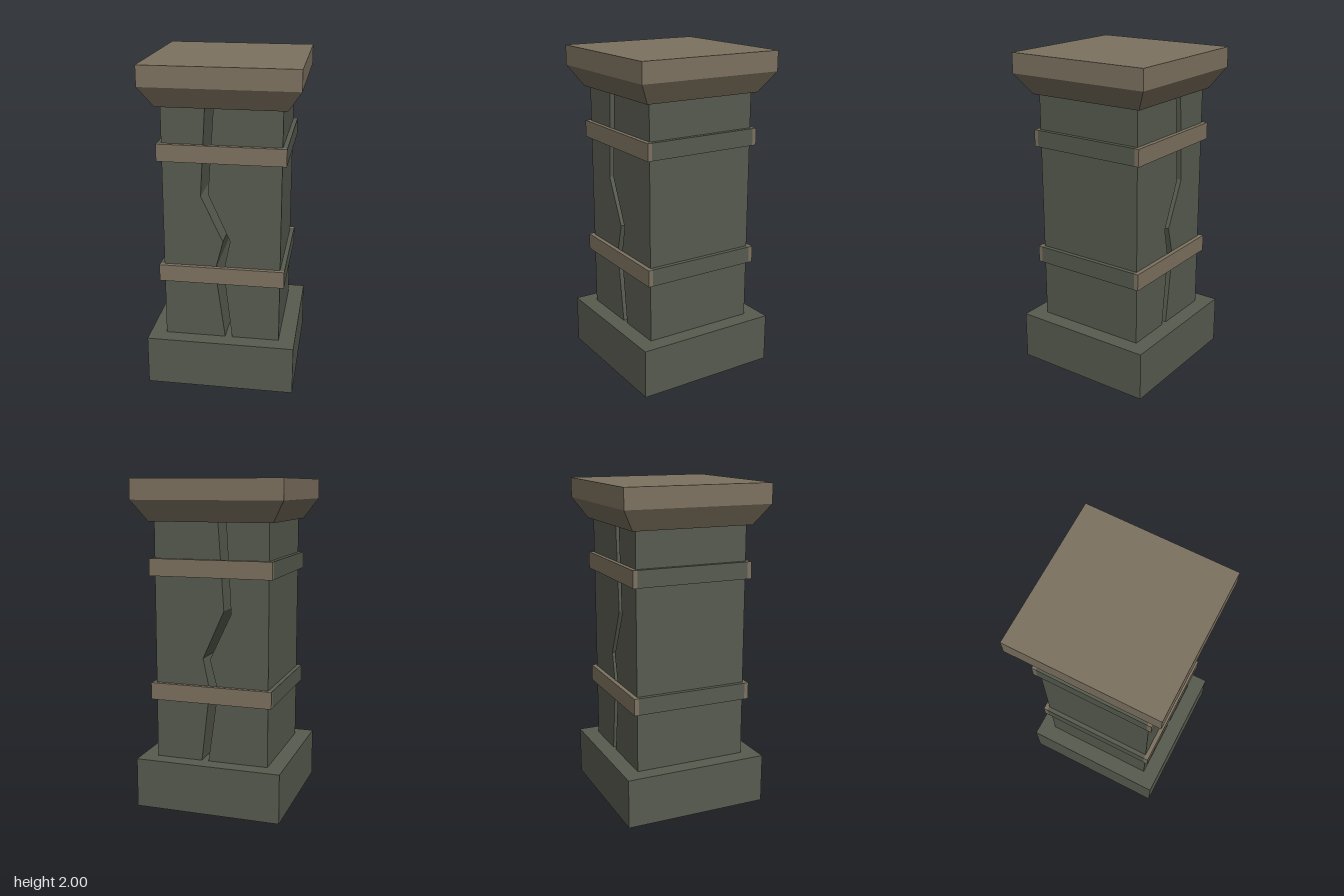
import * as THREE from 'three';

export function createModel() {
  const model = new THREE.Group();
  const stone = new THREE.MeshStandardMaterial({ color: 0x575b4f });
  stone.name = 'grey green stone';
  const sandstone = new THREE.MeshStandardMaterial({ color: 0x7d7260 });
  sandstone.name = 'brown sandstone';

  const add = (name, geometry, material, x = 0, y = 0, z = 0) => {
    const mesh = new THREE.Mesh(geometry, material);
    mesh.name = name;
    mesh.position.set(x, y, z);
    model.add(mesh);
    return mesh;
  };

  // Square base block
  add('base', new THREE.BoxGeometry(0.905, 0.305, 0.905), stone, 0, 0.1525, 0);

  // Shaft split in two by a jagged crack running from front to back
  const half = 0.353, bottom = 0.305, top = 1.752;
  const crackRight = [[0.02, bottom], [-0.041, 0.75], [0.008, 0.94], [-0.125, 1.22], [-0.095, top]];
  const crackLeft = [[0.063, bottom], [0.011, 0.75], [0.051, 0.945], [-0.08, 1.235], [-0.045, top]];
  const shaftHalf = (name, side, edge) => {
    const outline = [[side * half, top], [side * half, bottom], ...edge];
    const shape = new THREE.Shape(outline.map(([x, y]) => new THREE.Vector2(x, y)));
    const geometry = new THREE.ExtrudeGeometry(shape, { depth: half * 2, bevelEnabled: false });
    add(name, geometry, stone, 0, 0, -half);
  };
  shaftHalf('shaftRight', -1, crackRight);
  shaftHalf('shaftLeft', 1, crackLeft);

  // Two bands: sandstone strips front and back, stone strips on the sides
  const reach = 0.38, thick = reach - half, mid = (reach + half) / 2;
  for (const [label, y] of [['lower', 0.725], ['upper', 1.483]]) {
    for (const s of [1, -1]) {
      add(`${label}Band${s > 0 ? 'Front' : 'Back'}`,
        new THREE.BoxGeometry(reach * 2, 0.104, thick), sandstone, 0, y, s * mid);
      add(`${label}Band${s > 0 ? 'Left' : 'Right'}`,
        new THREE.BoxGeometry(thick, 0.104, half * 2), stone, s * mid, y, 0);
    }
  }

  // Capital: flared underside and flat slab
  const flare = new THREE.CylinderGeometry(0.46 * Math.SQRT2, 0.38 * Math.SQRT2, 0.126, 4)
    .rotateY(Math.PI / 4).toNonIndexed();
  flare.computeVertexNormals();
  add('capitalFlare', flare, sandstone, 0, 1.815, 0);
  add('capitalSlab', new THREE.BoxGeometry(0.92, 0.122, 0.92), sandstone, 0, 1.939, 0);

  return model;
}
